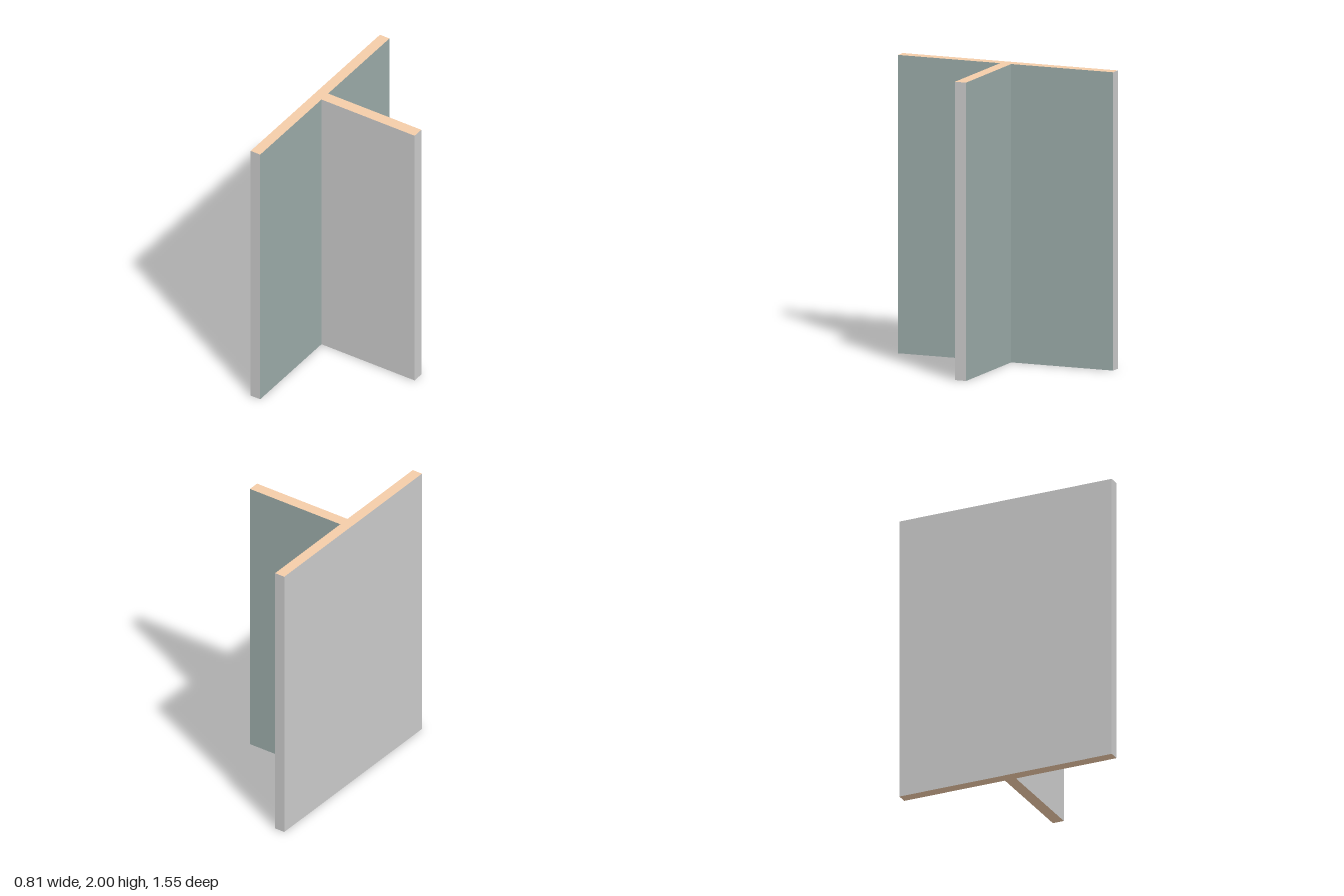
import * as THREE from 'three';

const HEIGHT = 2, BACK = -0.405, INNER = -0.33, TIP = 0.405; // x of flange faces and web end
const HALF_WIDTH = 0.775, HALF_WEB = 0.04;                   // z half sizes of flange and web

export function createModel() {
  const group = new THREE.Group();
  group.name = 'teeBeam';

  // T-shaped profile, extruded upright
  const profile = new THREE.Shape([
    [BACK, -HALF_WIDTH], [INNER, -HALF_WIDTH], [INNER, -HALF_WEB], [TIP, -HALF_WEB],
    [TIP, HALF_WEB], [INNER, HALF_WEB], [INNER, HALF_WIDTH], [BACK, HALF_WIDTH],
  ].map(([x, y]) => new THREE.Vector2(x, y)));
  const geometry = new THREE.ExtrudeGeometry(profile, { depth: HEIGHT, bevelEnabled: false });
  geometry.rotateX(-Math.PI / 2);

  const [steel, cutEnd, innerFace] = [0xcccccc, 0xf4cda9, 0x9baba9]
    .map((color) => new THREE.MeshStandardMaterial({ color }));

  // Cut ends are tan; the flange's inner faces and the web's back face are blue-grey
  const { position: p, normal: n } = geometry.attributes;
  geometry.clearGroups();
  for (let i = 0; i < p.count; i += 3) {
    const isEnd = Math.abs(n.getY(i)) > 0.5;
    const isFlangeInner = n.getX(i) > 0.5 && p.getX(i) < 0;
    const isWebBack = n.getZ(i) < -0.5 && p.getZ(i) > -0.1;
    geometry.addGroup(i, 3, isEnd ? 1 : isFlangeInner || isWebBack ? 2 : 0);
  }

  const beam = new THREE.Mesh(geometry, [steel, cutEnd, innerFace]);
  beam.name = 'flangeAndWeb';
  group.add(beam);
  return group;
}
